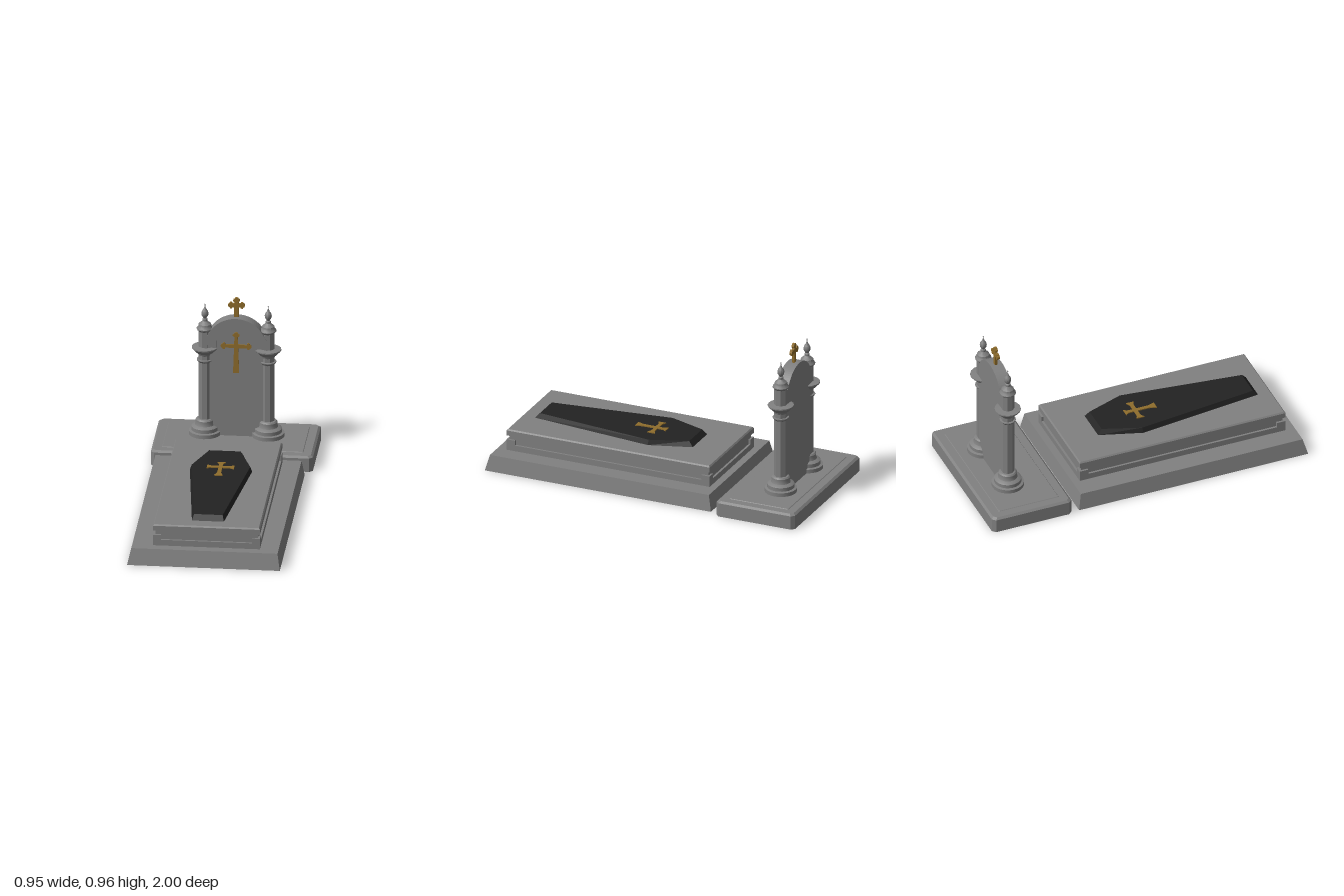
import * as THREE from 'three';
import { toCreasedNormals } from 'three/addons/utils/BufferGeometryUtils.js';

const V2 = (x, y) => new THREE.Vector2(x, y);

function material(name, color) {
  const m = new THREE.MeshStandardMaterial({ color, side: THREE.DoubleSide });
  m.name = name;
  return m;
}

function add(parent, name, geometry, mat, x = 0, y = 0, z = 0) {
  const mesh = new THREE.Mesh(geometry, mat);
  mesh.name = name;
  mesh.position.set(x, y, z);
  parent.add(mesh);
  return mesh;
}

// Shell through stacked rings, open below and closed on top
function loft(rings) {
  const pos = [];
  const tri = (...pts) => pts.forEach((p) => pos.push(...p));
  const n = rings[0].length;
  for (let r = 0; r < rings.length - 1; r++) {
    for (let i = 0; i < n; i++) {
      const j = (i + 1) % n;
      const [a, b, c, d] = [rings[r][i], rings[r][j], rings[r + 1][j], rings[r + 1][i]];
      tri(a, b, c);
      tri(a, c, d);
    }
  }
  const top = rings[rings.length - 1];
  const mid = [0, 1, 2].map((k) => top.reduce((s, p) => s + p[k], 0) / n);
  for (let i = 0; i < n; i++) tri(top[i], top[(i + 1) % n], mid);
  const g = new THREE.BufferGeometry();
  g.setAttribute('position', new THREE.Float32BufferAttribute(pos, 3));
  g.computeVertexNormals();
  return g;
}

// Rectangular ring from its bounds
const rect = (y, x0, x1, z0, z1) => [[x0, y, z1], [x1, y, z1], [x1, y, z0], [x0, y, z0]];

// Rectangular ring with cut corners
const cutRect = (y, hx, hz, c) => [
  [-hx + c, y, hz], [hx - c, y, hz], [hx, y, hz - c], [hx, y, -hz + c],
  [hx - c, y, -hz], [-hx + c, y, -hz], [-hx, y, -hz + c], [-hx, y, hz - c],
];

const extrude = (shape, depth) =>
  new THREE.ExtrudeGeometry(shape, { depth, bevelEnabled: false, curveSegments: 12 });

// Cross outline from four arm profiles of [distance, half width]: right, up, left, down
function crossShape(t, arms) {
  const pts = [];
  arms.forEach((arm, k) => {
    const dx = [1, 0, -1, 0][k], dy = [0, 1, 0, -1][k];
    const at = (u, v) => V2(dx * u - dy * v, dy * u + dx * v);
    arm.forEach(([u, v]) => pts.push(at(u, -v)));
    [...arm].reverse().forEach(([u, v]) => pts.push(at(u, v)));
    pts.push(at(t, t));
  });
  return new THREE.Shape(pts);
}

// Arm ending in three lobes
const budArm = (len, t, s) => [
  [len - 1.35 * s, t], [len - 1.25 * s, 0.85 * s], [len - 0.95 * s, 1.05 * s], [len - 0.6 * s, 0.95 * s],
  [len - 0.45 * s, 0.6 * s], [len - 0.15 * s, 0.5 * s], [len, 0.2 * s],
];

// Right half of an arch contour: straight points, then a curve to the crown
function archPoints(straight, crown, steps = 12) {
  const [rx, y0] = straight[straight.length - 1];
  const half = straight.map(([x, y]) => V2(x, y));
  for (let i = 1; i <= steps; i++) {
    const a = (i / steps) * Math.PI / 2;
    half.push(V2(rx * Math.cos(a), y0 + (crown - y0) * Math.sin(a)));
  }
  return [...half, ...half.slice(0, -1).reverse().map((p) => V2(-p.x, p.y))];
}

// Tablet contour starting at a given height
function tabletOutline(bottom) {
  const half = [V2(0.186, bottom), V2(0.186, 0.707)];
  const R = 0.181, cy = 0.664, a0 = Math.atan2(0.111, 0.143);
  for (let i = 0; i <= 12; i++) {
    const a = a0 + (i / 12) * (Math.PI / 2 - a0);
    half.push(V2(R * Math.cos(a), cy + R * Math.sin(a)));
  }
  return [...half, ...half.slice(0, -1).reverse().map((p) => V2(-p.x, p.y))];
}

export function createModel() {
  const model = new THREE.Group();
  model.name = 'graveMonument';
  const stone = material('greyStone', 0x808080);
  const black = material('blackStone', 0x222222);
  const gold = material('agedGold', 0x8f6d2c);
  const SZ = -0.787; // headstone centre line

  // Grave: sloped plinth, lower block, recessed groove and chamfered slab
  const grave = new THREE.Group();
  grave.name = 'grave';
  model.add(grave);
  const block = (y, d) => rect(y, -0.319 + d, 0.309 - d, -0.386 + d, 0.917 - d);
  add(grave, 'graveBody', loft([
    rect(0, -0.463, 0.434, -0.45, 1), rect(0.097, -0.441, 0.418, -0.43, 0.974),
    block(0.097, 0), block(0.133, 0), block(0.133, 0.013), block(0.189, 0.013),
    block(0.189, 0), block(0.22, 0), block(0.228, 0.007),
  ]), stone);
  for (const x of [-0.296, 0.286]) {
    for (const z of [-0.359, 0.89]) {
      add(grave, 'cornerBlock', new THREE.BoxGeometry(0.046, 0.03, 0.054), stone, x, 0.148, z);
    }
  }

  // Coffin lid with sloping sides
  const coffinRing = (y, foot, mid, head, z0, z1) => [
    [-foot, y, z1], [foot, y, z1], [mid, y, 0.07], [head, y, z0], [-head, y, z0], [-mid, y, 0.07],
  ];
  add(grave, 'coffin', loft([
    coffinRing(0.228, 0.094, 0.183, 0.103, -0.182, 0.834),
    coffinRing(0.258, 0.084, 0.172, 0.092, -0.155, 0.806),
  ]), black, -0.005);

  // Flared cross on the coffin
  const flare = (len, a, b) => [[len * 0.7, a], [len, b]];
  const lidCross = add(grave, 'coffinCross', extrude(crossShape(0.011, [
    flare(0.08, 0.012, 0.025), flare(0.066, 0.012, 0.025),
    flare(0.08, 0.012, 0.025), flare(0.128, 0.012, 0.025),
  ]), 0.007), gold, -0.005, 0.257, 0.095);
  lidCross.rotation.x = -Math.PI / 2;

  // Headstone base: cut corners, chamfered top, raised panel
  const headstone = new THREE.Group();
  headstone.name = 'headstone';
  model.add(headstone);
  add(headstone, 'headstoneBase', loft([
    cutRect(0, 0.476, 0.2515, 0.02), cutRect(0.084, 0.476, 0.2515, 0.02),
    cutRect(0.095, 0.463, 0.2385, 0.018), cutRect(0.095, 0.415, 0.19, 0.004),
    cutRect(0.098, 0.412, 0.187, 0.004),
  ]), stone, 0, 0, -0.7485);

  // Tablet with two stepped arch mouldings
  add(headstone, 'tablet', extrude(new THREE.Shape(tabletOutline(0.092)), 0.058), stone, 0, 0, -0.822);
  const mouldings = [
    [[[0.166, 0.643], [0.166, 0.675], [0.13, 0.675], [0.13, 0.7]], 0.804, 0.016],
    [[[0.15, 0.643], [0.15, 0.655], [0.114, 0.655], [0.114, 0.695]], 0.783, 0.008],
  ];
  for (const [straight, crown, depth] of mouldings) {
    const band = new THREE.Shape([...tabletOutline(0.643), ...archPoints(straight, crown).reverse()]);
    add(headstone, 'archMoulding', extrude(band, depth), stone, 0, 0, -0.764);
  }

  // Gold crosses on the face and crown of the tablet
  add(headstone, 'tabletCross', extrude(crossShape(0.012, [
    budArm(0.09, 0.009, 0.02), budArm(0.087, 0.009, 0.02), budArm(0.09, 0.009, 0.02), [[0.168, 0.018]],
  ]), 0.008), gold, 0, 0.668, -0.764);
  add(headstone, 'crownCross', extrude(crossShape(0.013, [
    budArm(0.049, 0.01, 0.019), budArm(0.048, 0.01, 0.019), budArm(0.049, 0.01, 0.019), [[0.08, 0.013]],
  ]), 0.016), gold, 0, 0.917, SZ - 0.008);

  // Columns: stepped foot, faceted shaft, capital and finial
  const turned = (pts, sides) =>
    toCreasedNormals(new THREE.LatheGeometry(pts.map(([r, y]) => V2(r, y)), sides), 0.5);
  const foot = turned([
    [0.001, 0.092], [0.095, 0.092], [0.095, 0.121], [0.08, 0.125], [0.08, 0.147], [0.073, 0.152],
    [0.058, 0.158], [0.054, 0.17], [0.054, 0.188], [0.047, 0.196], [0.036, 0.198],
  ], 24);
  const capital = turned([
    [0.036, 0.552], [0.048, 0.566], [0.048, 0.571], [0.031, 0.573], [0.034, 0.592], [0.039, 0.6],
    [0.042, 0.609], [0.05, 0.613], [0.062, 0.626], [0.077, 0.641], [0.077, 0.648], [0.036, 0.652],
  ], 16);
  const finial = turned([
    [0.036, 0.747], [0.049, 0.761], [0.049, 0.766], [0.039, 0.78], [0.037, 0.792], [0.018, 0.808],
    [0.015, 0.812], [0.015, 0.824], [0.009, 0.829], [0.019, 0.845], [0.021, 0.858], [0.018, 0.872],
    [0.009, 0.885], [0.003, 0.9], [0.002, 0.91], [0.004, 0.914], [0.0005, 0.92],
  ], 12);
  const shaft = new THREE.CylinderGeometry(0.039, 0.039, 0.565, 8).toNonIndexed();
  shaft.rotateY(Math.PI / 8);
  shaft.computeVertexNormals();
  for (const side of [-1, 1]) {
    const column = new THREE.Group();
    column.name = side > 0 ? 'leftColumn' : 'rightColumn';
    column.position.set(side * 0.186, 0, SZ);
    headstone.add(column);
    add(column, 'columnFoot', foot, stone);
    add(column, 'columnShaft', shaft, stone, 0, 0.4695, 0);
    add(column, 'columnCapital', capital, stone);
    add(column, 'columnFinial', finial, stone);
  }
  return model;
}
